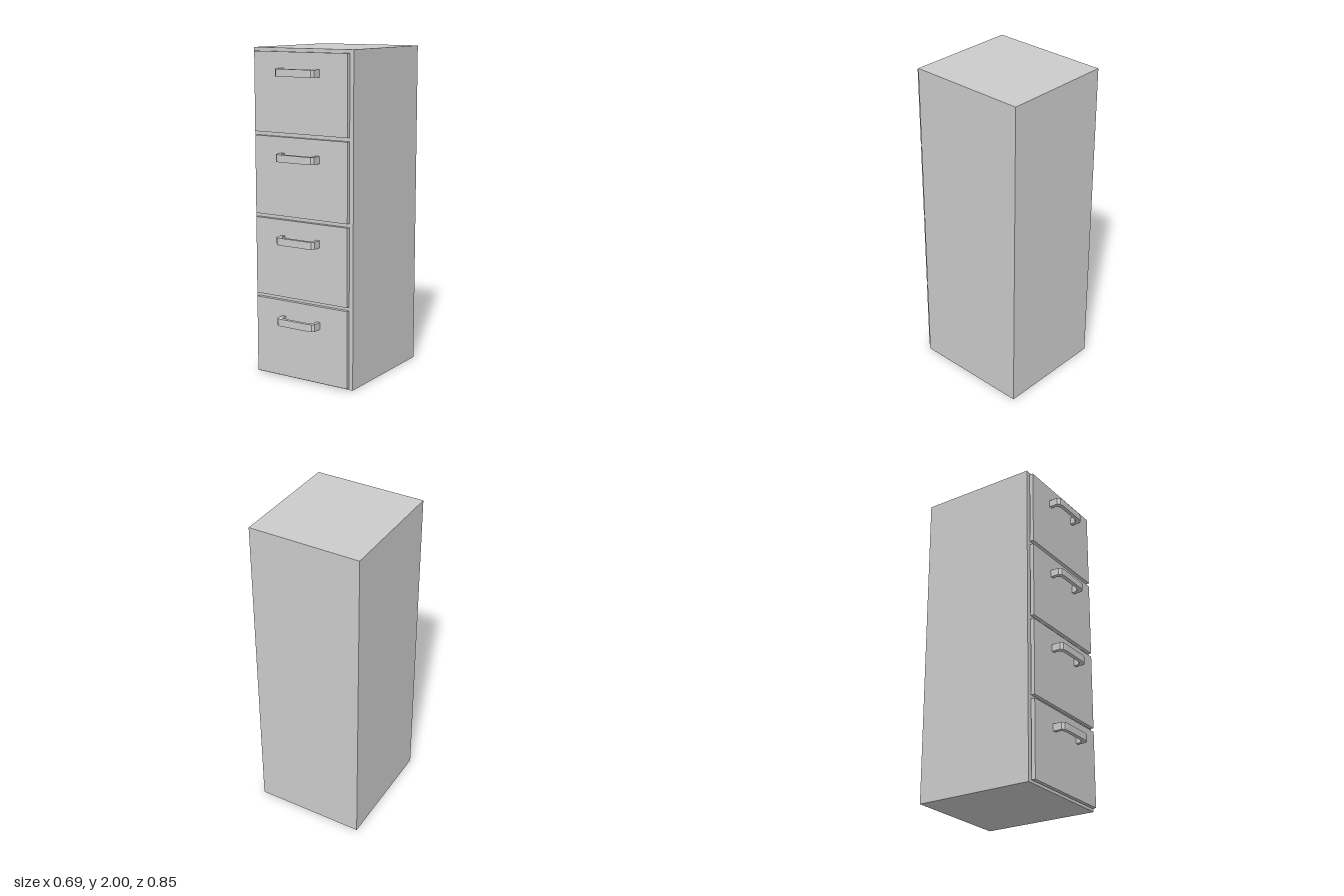
import * as THREE from 'three';

const grey = new THREE.MeshStandardMaterial({ color: 0xcccccc, flatShading: true });

// Box given by its minimum and maximum corners
function box(name, [x0, y0, z0], [x1, y1, z1]) {
  const mesh = new THREE.Mesh(new THREE.BoxGeometry(x1 - x0, y1 - y0, z1 - z0), grey);
  mesh.position.set((x0 + x1) / 2, (y0 + y1) / 2, (z0 + z1) / 2);
  mesh.name = name;
  return mesh;
}

// Bow handle: plan outline (x, z), mirrored left to right and extruded in height
function handleGeometry(height) {
  const outer = [[0.135, 0.345], [0.135, 0.405], [0.121, 0.42], [0.097, 0.425]];
  const inner = [[0.074, 0.402], [0.099, 0.398], [0.112, 0.383], [0.112, 0.345]];
  const mirror = (pts) => pts.map(([x, z]) => [-x, z]).reverse();
  const outline = [...outer, ...mirror(outer), ...mirror(inner), ...inner];
  const shape = new THREE.Shape(outline.map(([x, z]) => new THREE.Vector2(x, z)));
  const geometry = new THREE.ExtrudeGeometry(shape, { depth: height, bevelEnabled: false });
  return geometry.rotateX(Math.PI / 2);
}

export function createModel() {
  const model = new THREE.Group();
  model.name = 'filingCabinet';
  model.add(box('cabinetBody', [-0.347, 0, -0.426], [0.347, 2, 0.32]));

  // Four identical drawers, stacked upwards
  const handle = handleGeometry(0.044);
  for (let i = 0; i < 4; i++) {
    const drawer = new THREE.Group();
    drawer.name = `drawer${i + 1}`;
    drawer.position.y = 0.014 + i * 0.497;
    drawer.add(box('drawerFront', [-0.325, 0, 0.326], [0.325, 0.474, 0.35]));
    // Recessed neck between the front and the body
    drawer.add(box('drawerNeck', [-0.315, 0.01, 0.315], [0.315, 0.464, 0.328]));
    const pull = new THREE.Mesh(handle, grey);
    pull.name = 'drawerHandle';
    pull.position.y = 0.379;
    drawer.add(pull);
    model.add(drawer);
  }
  return model;
}
